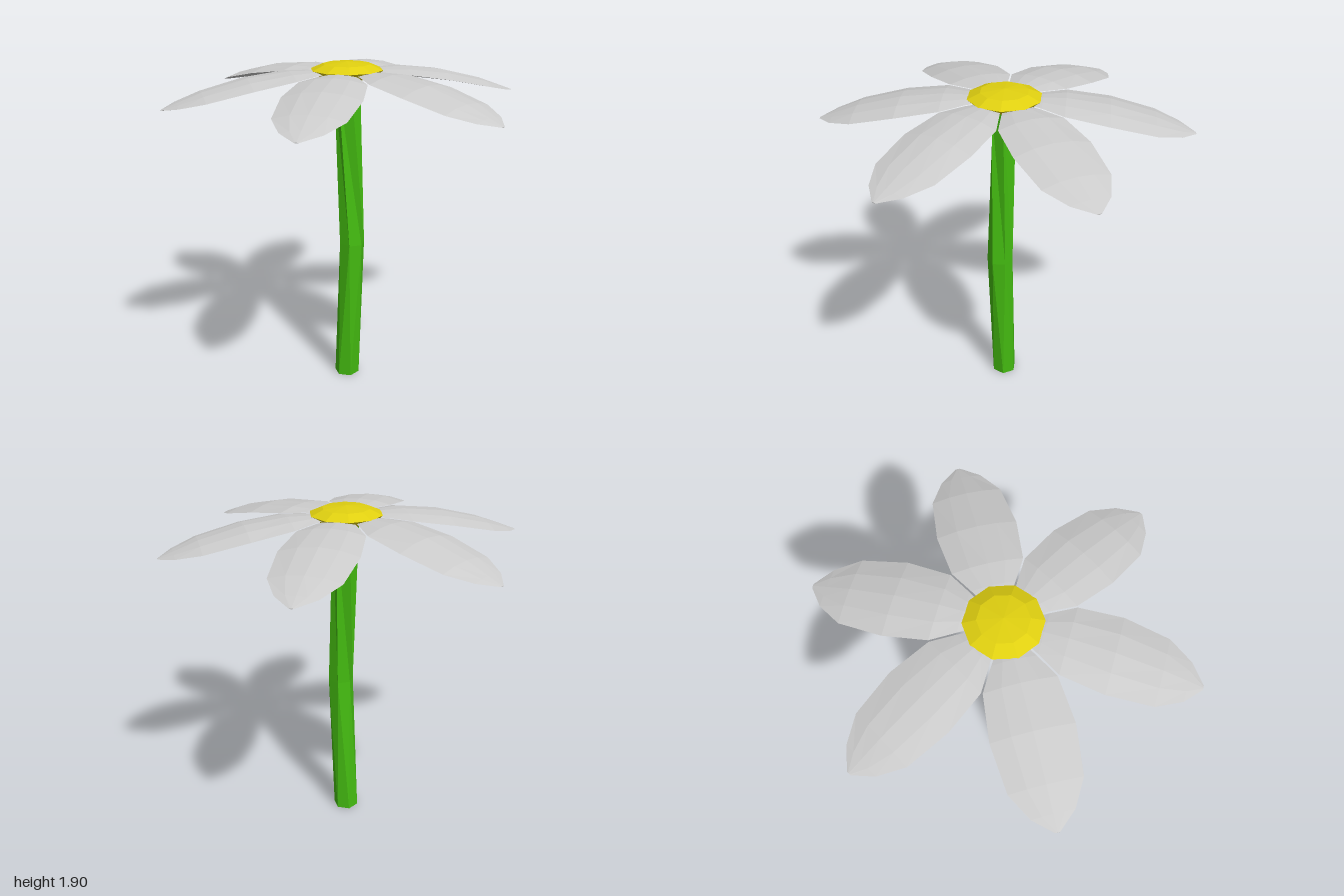
import * as THREE from 'three';

// Joins cross-sections (arrays of [x, y, z]) into a skin; optional end caps.
function loft(rings, capped) {
  const n = rings[0].length;
  const index = [];
  for (let j = 0; j < rings.length - 1; j++) {
    for (let i = 0; i < n; i++) {
      const a = j * n + i, b = j * n + (i + 1) % n;
      index.push(a, b, a + n, b, b + n, a + n);
    }
  }
  if (capped) {
    const last = (rings.length - 1) * n;
    for (let i = 1; i < n - 1; i++) {
      index.push(0, i + 1, i);
      index.push(last, last + i, last + i + 1);
    }
  }
  const geometry = new THREE.BufferGeometry();
  geometry.setAttribute('position', new THREE.Float32BufferAttribute(rings.flat(2), 3));
  geometry.setIndex(index);
  const flat = geometry.toNonIndexed();
  flat.computeVertexNormals();
  return flat;
}

function addMesh(parent, name, geometry, color, side = THREE.FrontSide) {
  const material = new THREE.MeshStandardMaterial({ color, flatShading: true, side });
  const mesh = new THREE.Mesh(geometry, material);
  mesh.name = name;
  parent.add(mesh);
  return mesh;
}

// Shallow domed petal pointing along +z: [distance, half width, ridge y, edge y, underside y]
function petalGeometry() {
  const rows = [
    [0.10, 0.05, 1.845, 1.84, 1.83],
    [0.20, 0.11, 1.855, 1.84, 1.82],
    [0.32, 0.18, 1.857, 1.83, 1.805],
    [0.55, 0.205, 1.83, 1.795, 1.775],
    [0.79, 0.18, 1.77, 1.742, 1.727],
    [0.92, 0.105, 1.722, 1.71, 1.702],
    [1.00, 0.012, 1.692, 1.69, 1.687],
  ];
  return loft(rows.map(([z, w, top, edge, under]) => {
    const shoulder = edge + (top - edge) * 0.75;
    return [
      [w, edge, z], [w * 0.5, shoulder, z], [0, top, z],
      [-w * 0.5, shoulder, z], [-w, edge, z], [0, under, z],
    ];
  }), true);
}

// Hollow six-sided stem with a bent, twisted middle: [y, centre x, centre z, twist]
function stemGeometry() {
  const levels = [
    [0, 0.002, 0.002, 0],
    [0.86, 0.037, 0.023, Math.PI / 6],
    [1.785, 0.002, 0, 0],
  ];
  return loft(levels.map(([y, cx, cz, twist]) =>
    Array.from({ length: 6 }, (_, i) => {
      const a = i * Math.PI / 3 + twist;
      return [cx + 0.073 * Math.cos(a), y, cz - 0.073 * Math.sin(a)];
    })), false);
}

export function createModel() {
  const flower = new THREE.Group();
  flower.name = 'flower';

  addMesh(flower, 'stem', stemGeometry(), 0x44bb11, THREE.DoubleSide);

  // Faceted button in the middle of the petals
  const profile = [[0, 1.79], [0.09, 1.797], [0.17, 1.825], [0.2, 1.853], [0.13, 1.883], [0, 1.896]];
  const button = new THREE.LatheGeometry(profile.map(([r, y]) => new THREE.Vector2(r, y)), 10, Math.PI / 2);
  addMesh(flower, 'flowerCentre', button, 0xe0d010);

  // Six petals around the button
  const petals = new THREE.Group();
  petals.name = 'petals';
  const shape = petalGeometry();
  for (let i = 0; i < 6; i++) {
    addMesh(petals, 'petal', shape, 0xcccccc).rotation.y = i * Math.PI / 3;
  }
  flower.add(petals);

  return flower;
}
